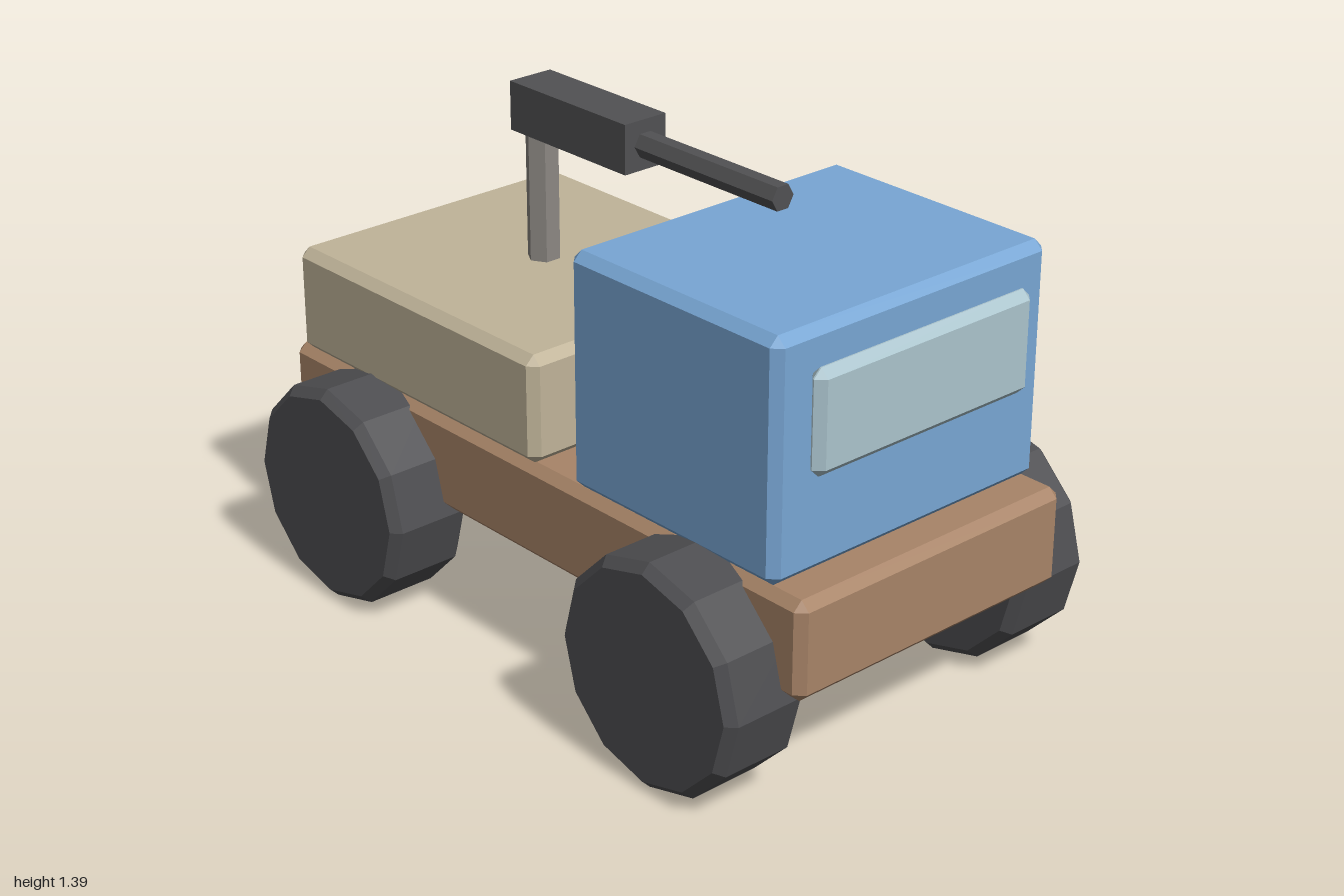
import * as THREE from 'three';
import { ConvexGeometry } from 'three/addons/geometries/ConvexGeometry.js';

const mat = (color) => new THREE.MeshStandardMaterial({ color, flatShading: true });

// Box with chamfered edges: each corner becomes three points, one per face
function chamferBox(w, h, d, c) {
  const pts = [];
  for (const sx of [-1, 1]) for (const sy of [-1, 1]) for (const sz of [-1, 1]) {
    for (const [a, b, e] of [[0, c, c], [c, 0, c], [c, c, 0]]) {
      pts.push(new THREE.Vector3(sx * (w / 2 - a), sy * (h / 2 - b), sz * (d / 2 - e)));
    }
  }
  return new ConvexGeometry(pts);
}

export function createModel() {
  const model = new THREE.Group();
  model.name = 'truck';

  function add(name, geometry, material, x, y, z = 0) {
    const mesh = new THREE.Mesh(geometry, material);
    mesh.name = name;
    mesh.position.set(x, y, z);
    model.add(mesh);
    return mesh;
  }

  const brown = mat(0xa88468);
  const tan = mat(0xc0b499);
  const blue = mat(0x78a6d4);
  const glass = mat(0xabc4cd);
  const rubber = mat(0x4e4e51);
  const gunMetal = mat(0x515153);
  const steel = mat(0x8c8883);

  // Body
  add('chassis', chamferBox(2, 0.27, 0.91, 0.025), brown, 0, 0.46);
  add('cargoBed', chamferBox(1, 0.3, 0.91, 0.025), tan, -0.46, 0.74);
  add('cab', chamferBox(0.725, 0.635, 0.91, 0.025), blue, 0.543, 0.913);
  add('windshield', chamferBox(0.05, 0.275, 0.725, 0.023), glass, 0.928, 1.003);

  // Wheels: twelve-sided with chamfered rims, axle along z
  const profile = [[0, -0.125], [0.285, -0.125], [0.31, -0.1], [0.31, 0.1], [0.285, 0.125], [0, 0.125]]
    .map(([r, y]) => new THREE.Vector2(r, y));
  const wheel = new THREE.LatheGeometry(profile, 12).rotateX(Math.PI / 2);
  for (const [end, x] of [['front', 0.64], ['rear', -0.64]]) {
    for (const [side, z] of [['Near', 0.5], ['Far', -0.5]]) {
      add(end + 'Wheel' + side, wheel, rubber, x, 0.31, z);
    }
  }

  // Mounted turret
  add('post', new THREE.CylinderGeometry(0.046, 0.046, 0.4, 6), steel, -0.46, 1.07);
  add('turretBody', new THREE.BoxGeometry(0.455, 0.135, 0.136), gunMetal, -0.277, 1.322);
  add('barrel', new THREE.CylinderGeometry(0.036, 0.036, 0.52, 6).rotateZ(Math.PI / 2), gunMetal, 0.19, 1.322);

  return model;
}
